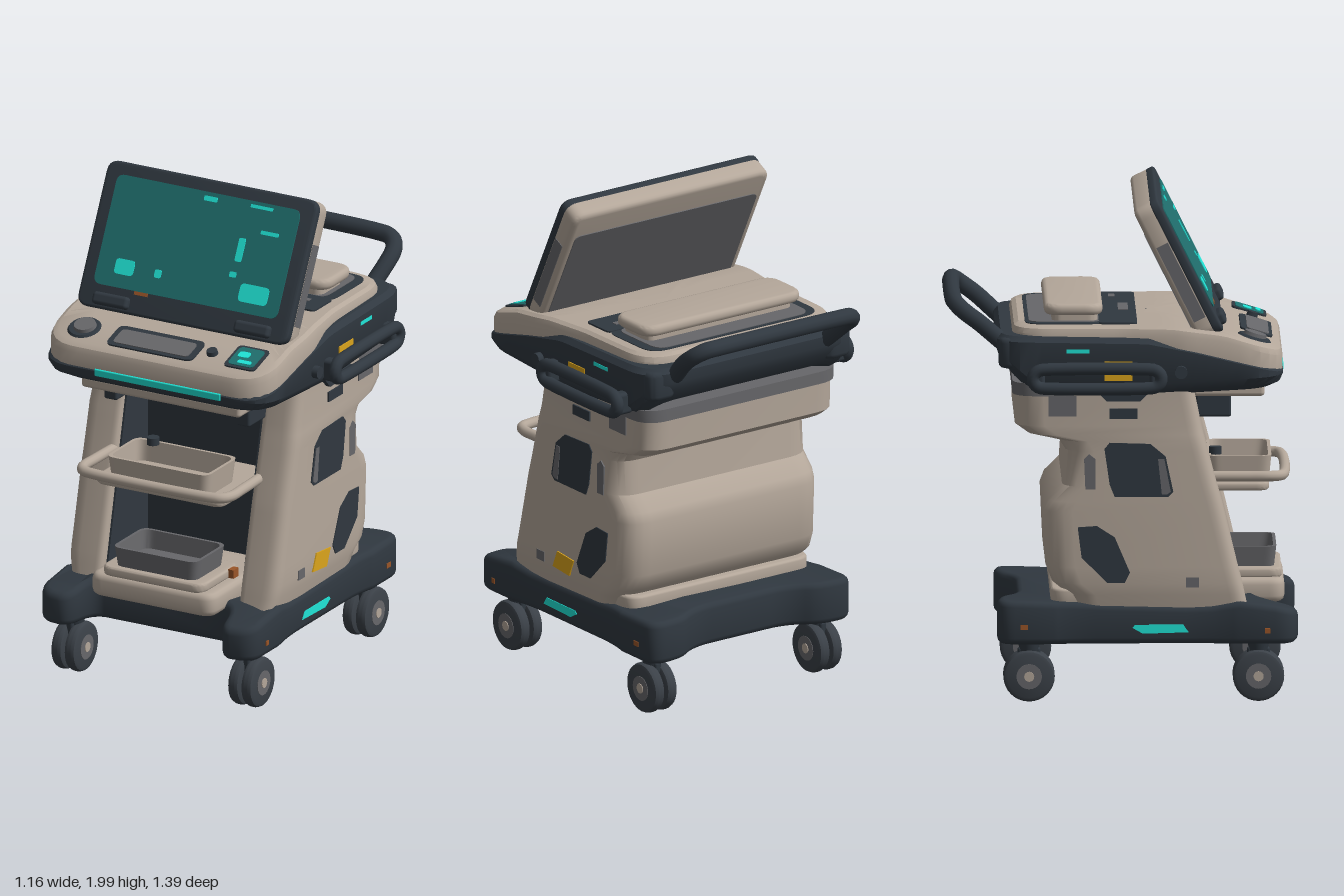
import * as THREE from 'three';
import { toCreasedNormals } from 'three/addons/utils/BufferGeometryUtils.js';
import { RoundedBoxGeometry } from 'three/addons/geometries/RoundedBoxGeometry.js';

const V = (x, y, z) => new THREE.Vector3(x, y, z);
const paint = (name, color) => { const m = new THREE.MeshStandardMaterial({ color }); m.name = name; return m; };

// Rounded rectangle in plan; the shape's y is -z
function roundRect(w, d, r, cx = 0, cz = 0) {
  const s = new THREE.Shape(), a = w / 2, b = d / 2, y = -cz;
  s.moveTo(cx + a, y - b + r);
  s.lineTo(cx + a, y + b - r).quadraticCurveTo(cx + a, y + b, cx + a - r, y + b);
  s.lineTo(cx - a + r, y + b).quadraticCurveTo(cx - a, y + b, cx - a, y + b - r);
  s.lineTo(cx - a, y - b + r).quadraticCurveTo(cx - a, y - b, cx - a + r, y - b);
  s.lineTo(cx + a - r, y - b).quadraticCurveTo(cx + a, y - b, cx + a, y - b + r);
  return s;
}
// Extrude a plan shape upward from y0 to y1 with a soft edge
function slab(shape, y0, y1, bevel = 0) {
  const g = new THREE.ExtrudeGeometry(shape, { depth: y1 - y0 - 2 * bevel, bevelEnabled: bevel > 0, bevelSize: bevel,
    bevelThickness: bevel, bevelOffset: -bevel, bevelSegments: 3, curveSegments: 8 });
  return toCreasedNormals(g.rotateX(-Math.PI / 2).translate(0, y0 + bevel, 0), 0.6);
}
// Skin a stack of equal closed rings (counter-clockwise from above)
function loft(rings, crease = 0.6) {
  const n = rings[0].length, idx = [];
  for (let k = 0; k < rings.length - 1; k++) for (let i = 0; i < n; i++) {
    const a = k * n + i, b = k * n + (i + 1) % n;
    idx.push(a, b, b + n, a, b + n, a + n);
  }
  const g = new THREE.BufferGeometry().setFromPoints(rings.flat());
  g.setIndex(idx);
  return toCreasedNormals(g, crease);
}
function rectRing(w, d, r, y, cz, squeeze = () => 1) {
  const pts = roundRect(w, d, r, 0, 0).getSpacedPoints(96).slice(0, -1);
  return pts.map(p => { const z = cz - p.y; return V(p.x * squeeze(z), typeof y === 'function' ? y(z) : y, z); });
}
// Piecewise linear value along z, listed front to back
const along = table => z => {
  for (let i = 1; i < table.length; i++) if (z >= table[i][0] || i === table.length - 1) {
    const [z0, y0] = table[i - 1], [z1, y1] = table[i];
    return THREE.MathUtils.lerp(y0, y1, THREE.MathUtils.clamp((z - z0) / (z1 - z0), 0, 1));
  }
};
const tube = (pts, r, closed = false) =>
  new THREE.TubeGeometry(new THREE.CatmullRomCurve3(pts, closed, 'centripetal'), 96, r, 12, closed);

export function createModel() {
  const root = new THREE.Group();
  root.name = 'medicalCart';
  const shell = paint('warm grey shell', 0xb4a79a), dark = paint('charcoal', 0x303840), tyre = paint('tyre', 0x3b4148),
    grey = paint('mid grey', 0x67676a), glass = paint('screen teal', 0x206f6e), cyan = paint('bright cyan', 0x20e6d8),
    yellow = paint('yellow', 0xdba41c), orange = paint('orange', 0x9a5528);
  const add = (name, g, m, parent = root) => {
    const mesh = new THREE.Mesh(g, m); mesh.name = name; parent.add(mesh); return mesh;
  };
  const box = (name, w, h, d, x, y, z, m, parent = root, r = 0) =>
    add(name, (r ? new RoundedBoxGeometry(w, h, d, 3, r) : new THREE.BoxGeometry(w, h, d)).translate(x, y, z), m, parent);
  // Thin plate on the flanks from [z, y] corners
  const flank = (name, pts, x, m, depth = 0.008, sides = [1, -1]) => {
    for (const side of sides) {
      const g = new THREE.ExtrudeGeometry(new THREE.Shape(pts.map(p => new THREE.Vector2(-p[0], p[1]))), { depth, bevelEnabled: false });
      add(name, g.rotateY(Math.PI / 2).translate(side * x - depth / 2, 0, 0), m);
    }
  };
  const quad = (z0, z1, y0, y1) => [[z0, y0], [z1, y0], [z1, y1], [z0, y1]];

  // Casters with twin wheels
  const profile = [[0.001, -0.025], [0.084, -0.025], [0.096, -0.02], [0.101, -0.008], [0.101, 0.008], [0.096, 0.02], [0.084, 0.025], [0.001, 0.025]];
  for (const x of [-0.4, 0.4]) for (const z of [0.535, -0.365]) {
    const c = new THREE.Group(); c.name = 'caster'; c.position.set(x, 0.105, z); root.add(c);
    for (const s of [-0.03, 0.03]) {
      const turn = g => g.rotateZ(Math.PI / 2).translate(s, 0, 0);
      add('tyre', turn(toCreasedNormals(new THREE.LatheGeometry(profile.map(p => new THREE.Vector2(...p)), 32), 0.5)), tyre, c);
      add('hub', turn(new THREE.CylinderGeometry(0.05, 0.05, 0.054, 24)), grey, c);
      add('axleCap', turn(new THREE.CylinderGeometry(0.02, 0.02, 0.06, 16)), shell, c);
    }
    box('casterFork', 0.03, 0.12, 0.09, 0, 0.05, 0, dark, c, 0.01);
    add('casterStem', new THREE.CylinderGeometry(0.045, 0.035, 0.05, 20).translate(0, 0.115, 0), dark, c);
  }

  // Wheeled base with lobed corners, waisted edges and a dipping top
  const b = new THREE.Shape();
  b.moveTo(0.27, -0.53);
  b.quadraticCurveTo(0.32, -0.54, 0.33, -0.62).quadraticCurveTo(0.34, -0.69, 0.39, -0.69);
  b.lineTo(0.43, -0.685).quadraticCurveTo(0.49, -0.67, 0.49, -0.6);
  b.lineTo(0.49, -0.46).quadraticCurveTo(0.47, -0.36, 0.47, -0.25);
  b.lineTo(0.47, 0.1).quadraticCurveTo(0.47, 0.2, 0.49, 0.27);
  b.lineTo(0.49, 0.42).quadraticCurveTo(0.49, 0.49, 0.42, 0.49);
  b.quadraticCurveTo(0.33, 0.49, 0.28, 0.45).quadraticCurveTo(0.22, 0.41, 0.14, 0.41);
  const half = b.getPoints(8);
  const outline = new THREE.Shape(half.concat(half.slice().reverse().map(p => new THREE.Vector2(-p.x, p.y))));
  const baseG = slab(outline, 0.235, 0.405, 0.025), bp = baseG.attributes.position;
  const rise = along([[0.69, -0.04], [0.5, 0.005], [0.35, -0.02], [0.1, -0.025], [-0.2, -0.005], [-0.49, 0.005]]);
  for (let i = 0; i < bp.count; i++) if (bp.getY(i) > 0.32) bp.setY(i, bp.getY(i) + rise(bp.getZ(i)));
  add('base', toCreasedNormals(baseG, 0.6), dark);
  flank('baseLight', [[0.26, 0.282], [0.08, 0.277], [0.04, 0.3], [0.05, 0.312], [0.24, 0.312]], 0.469, cyan);
  flank('baseMarker', quad(0.58, 0.56, 0.28, 0.3), 0.489, orange);
  flank('baseMarker', quad(-0.37, -0.4, 0.295, 0.315), 0.489, orange);
  add('rearSkirt', slab(roundRect(0.88, 0.5, 0.07, 0, -0.03), 0.38, 0.45, 0.012), shell);

  // Body: U-shaped cross-sections open at the front: y, front z, back z, half width
  const levels = [[0.36, 0.495, -0.2, 0.455], [0.43, 0.48, -0.22, 0.47], [0.475, 0.47, -0.275, 0.475], [0.54, 0.453, -0.3, 0.475],
    [0.76, 0.4, -0.31, 0.475], [0.8, 0.39, -0.295, 0.475], [0.86, 0.372, -0.235, 0.475], [1.0, 0.335, -0.225, 0.475],
    [1.04, 0.325, -0.25, 0.475], [1.065, 0.318, -0.37, 0.473], [1.1, 0.31, -0.42, 0.47], [1.27, 0.275, -0.425, 0.47]];
  const notch = 0.31, deep = 0.12;
  add('body', loft(levels.map(([y, zf, zb, hw]) => {
    const s = new THREE.Shape(), r = 0.06, q = 0.115;
    s.moveTo(notch, -deep);
    s.lineTo(notch, 0.03 - zf).quadraticCurveTo(notch, -zf, notch + 0.03, -zf);
    s.lineTo(hw - r, -zf).quadraticCurveTo(hw, -zf, hw, r - zf);
    s.lineTo(hw, -zb - q).quadraticCurveTo(hw, -zb, hw - q, -zb);
    const p = s.getPoints(6);
    return p.concat(p.slice().reverse().map(k => new THREE.Vector2(-k.x, k.y))).map(k => V(k.x, y, -k.y));
  })), shell);
  add('neckBand', slab(roundRect(0.955, 0.3, 0.11, 0, -0.28), 1.22, 1.27), grey);
  box('bayBack', 0.62, 0.86, 0.008, 0, 0.82, 0.124, dark);
  flank('bayLiner', [[0.12, 0.38], [0.455, 0.38], [0.26, 1.24], [0.12, 1.24]], 0.306, dark);

  // Flank details
  flank('sideWindow', [[0.2, 0.84], [0.18, 0.82], [-0.03, 0.82], [-0.05, 0.87], [-0.07, 1.01], [-0.05, 1.035], [0.11, 1.03], [0.17, 0.98]], 0.475, dark);
  flank('windowEdge', [[0.19, 0.84], [0.175, 0.83], [0.155, 0.83], [0.14, 0.97], [0.165, 0.97]], 0.477, grey);
  flank('sideSlot', [[-0.105, 0.85], [-0.145, 0.85], [-0.15, 0.97], [-0.13, 0.99], [-0.105, 0.97]], 0.474, grey);
  flank('sideVent', [[0.03, 0.52], [0.01, 0.48], [-0.06, 0.48], [-0.16, 0.58], [-0.175, 0.7], [-0.1, 0.705], [-0.03, 0.66]], 0.475, dark);
  flank('sideTag', [[0.19, 0.46], [0.08, 0.45], [0.05, 0.52], [0.16, 0.53]], 0.476, yellow, 0.008, [1]);
  flank('sideSocket', quad(0.3, 0.25, 0.46, 0.5), 0.474, grey);
  flank('rearSocket', quad(-0.18, -0.29, 1.14, 1.22), 0.47, grey);
  flank('sideLatch', [[0.11, 1.24], [0.07, 1.2], [-0.06, 1.2], [-0.1, 1.24]], 0.474, dark, 0.03);
  flank('latchSocket', quad(0.06, -0.05, 1.13, 1.17), 0.473, dark);

  // Deck: dark rim and pale sloping top
  const low = along([[0.63, 1.25], [0.1, 1.22], [-0.36, 1.24], [-0.49, 1.35]]);
  const seam = along([[0.63, 1.33], [0.3, 1.41], [0.1, 1.45], [-0.49, 1.46]]);
  const top = along([[0.63, 1.4], [0.4, 1.47], [0.2, 1.495], [-0.49, 1.495]]);
  const shift = (f, d) => z => f(z) + d;
  add('deckRim', loft([[0.01, 0.01, low, 0], [0.9, 1.02, low, 0], [0.98, 1.1, low, 0.02], [1.02, 1.125, low, 0.05],
    [1.02, 1.125, seam, -0.02], [0.98, 1.09, seam, 0], [0.01, 0.01, seam, 0]].map(([w, d, f, dy]) =>
    rectRing(w, d, 0.13 * w, shift(f, dy), 0.07))), dark);
  const narrow = along([[0.25, 1], [0.0, 0.93], [-0.5, 0.92]]);
  add('deckTop', loft([[1.02, 1.06, seam, -0.015], [1.02, 1.06, top, -0.03], [1.005, 1.045, top, -0.01], [0.97, 1.01, top, 0],
    [0.75, 0.78, top, 0], [0.5, 0.52, top, 0], [0.25, 0.26, top, 0], [0.005, 0.005, top, 0]].map(([w, d, f, dy]) =>
    rectRing(w, d, 0.15 * w, shift(f, dy), 0.1, narrow)), 0.5), shell);
  box('frontLight', 0.57, 0.03, 0.012, 0.03, 1.305, 0.63, cyan, root, 0.005);
  flank('rimLight', quad(-0.13, -0.22, 1.395, 1.41), 0.508, cyan);
  box('underTray', 0.72, 0.05, 0.28, 0, 1.225, 0.42, shell, root, 0.015);
  for (const s of [-1, 1]) {
    box('deckBracket', 0.06, 0.11, 0.14, s * 0.3, 1.17, 0.36, dark, root, 0.01);
    add('rimKnob', new THREE.CylinderGeometry(0.025, 0.025, 0.04, 16).rotateZ(Math.PI / 2).translate(s * 0.515, 1.32, 0.23), dark);
    add('rearLobe', slab(roundRect(0.13, 0.14, 0.05, s * 0.425, -0.415), 1.33, 1.45, 0.02), dark);
  }

  // Storage lid and its recess
  add('recessFrame', slab(roundRect(0.82, 0.32, 0.08, 0, -0.22), 1.49, 1.498), dark);
  add('lidRecess', slab(roundRect(0.74, 0.28, 0.06, 0, -0.225), 1.493, 1.501), grey);
  add('hingeWell', slab(roundRect(0.82, 0.15, 0.02, 0, -0.015), 1.494, 1.502), dark);
  add('lidFoot', slab(roundRect(0.7, 0.18, 0.04, 0, -0.185), 1.49, 1.54), shell);
  add('lid', slab(roundRect(0.77, 0.23, 0.07, 0, -0.19), 1.525, 1.57, 0.018), shell);
  box('hingeCover', 0.17, 0.012, 0.04, 0.01, 1.5, 0.01, grey);
  box('hingeCover', 0.06, 0.008, 0.025, 0.31, 1.501, -0.03, grey);

  // Console controls on the slope
  const con = new THREE.Group(); con.name = 'console'; con.position.set(0, 1.434, 0.52); con.rotation.x = 0.29; root.add(con);
  const disc = (name, r, h, x, m) => add(name, new THREE.CylinderGeometry(r * 0.9, r, h, 28).translate(x, h / 2, 0), m, con);
  disc('dialRing', 0.068, 0.008, -0.365, dark);
  disc('dial', 0.048, 0.022, -0.36, grey);
  disc('button', 0.023, 0.018, 0.215, dark);
  add('ventFrame', slab(roundRect(0.39, 0.13, 0.03, -0.035, 0.01), -0.002, 0.006), dark, con);
  add('ventGrille', slab(roundRect(0.34, 0.09, 0.02, -0.035, 0.015), 0.002, 0.01), grey, con);
  add('padFrame', slab(roundRect(0.14, 0.14, 0.02, 0.365, -0.01), -0.002, 0.006), dark, con);
  add('pad', slab(roundRect(0.115, 0.115, 0.02, 0.365, -0.01), 0.002, 0.009), glass, con);
  add('padGlow', slab(roundRect(0.05, 0.035, 0.012, 0.35, -0.02), 0.004, 0.012), cyan, con);
  add('padGlow', slab(roundRect(0.06, 0.02, 0.008, 0.375, 0.025), 0.004, 0.012), cyan, con);

  // Tilted monitor: local y runs up the screen, z faces out
  const mon = new THREE.Group(); mon.name = 'monitor'; mon.position.set(0, 1.475, 0.4); mon.rotation.x = -0.465; root.add(mon);
  const upright = (name, x, y, w, h, r, z0, z1, m, bevel = 0) =>
    add(name, slab(roundRect(w, h, r, x, -y), z0, z1, bevel).rotateX(Math.PI / 2), m, mon);
  upright('monitorShell', 0, 0.293, 0.945, 0.585, 0.05, -0.108, -0.015, shell, 0.02);
  upright('bezel', 0, 0.293, 0.95, 0.585, 0.05, -0.04, 0, dark, 0.01);
  upright('screen', -0.003, 0.315, 0.83, 0.44, 0.035, -0.004, 0.004, glass);
  upright('backPanel', 0, 0.245, 0.88, 0.46, 0.03, -0.112, -0.105, grey);
  for (const [x, y, w, h] of [[-0.295, 1.635, 0.085, 0.055], [0.29, 1.63, 0.13, 0.065], [0.188, 1.775, 0.03, 0.085], [0.18, 1.685, 0.03, 0.02],
    [-0.145, 1.635, 0.03, 0.03], [0.01, 1.93, 0.06, 0.018], [0.24, 1.935, 0.1, 0.012], [0.3, 1.85, 0.08, 0.014]])
    upright('screenGlyph', x, (y - 1.475) / 0.894, w, h / 0.894, Math.min(w, h) * 0.3, 0.002, 0.007, cyan);
  box('screenBadge', 0.06, 0.018, 0.006, -0.2, 0.09, 0.001, orange, mon);
  for (const s of [-1, 1]) {
    box('hinge', 0.16, 0.05, 0.05, s * 0.32, 0.04, 0.0, dark, mon, 0.015);
    box('monitorSideStrip', 0.008, 0.33, 0.05, s * 0.471, 0.25, -0.065, grey, mon);
  }

  // Grab loops on the flanks, with a tag on the rim behind each
  for (const s of [-1, 1]) {
    const x = s * 0.557, loop = [];
    for (let i = 0; i < 16; i++) {
      const a = (i < 8 ? i / 7 : 1 + (i - 8) / 7) * Math.PI - Math.PI / 2;
      loop.push(V(x, 1.3 + 0.037 * Math.sin(a), -0.1 + (i < 8 ? 0.21 : -0.21) + 0.042 * Math.cos(a)));
    }
    add('sideHandle', tube(loop, 0.025, true), dark);
    for (const z of [0.13, -0.33]) box('handlePost', 0.08, 0.09, 0.05, s * 0.52, 1.3, z, dark, root, 0.015);
  }
  flank('handleTag', quad(0.04, -0.07, 1.285, 1.362), 0.51, yellow);

  // Rear push handle
  const arm = [[0.36, 1.38, -0.42], [0.365, 1.425, -0.475], [0.385, 1.5, -0.56], [0.387, 1.53, -0.6], [0.375, 1.553, -0.63], [0.345, 1.57, -0.65], [0.29, 1.575, -0.658]];
  const left = arm.map(p => V(...p)), right = arm.map(([x, y, z]) => V(-x, y, z)).reverse();
  add('pushHandle', tube(left.concat(right), 0.034), dark);

  // Open basket: outside wall, lip, inside wall, floor
  const basket = (name, w, d, h, y, z, m) => add(name, loft([[0.02, 0], [w - 0.02, 0], [w, h], [w - 0.025, h], [w - 0.04, 0.015], [0.02, 0.015]]
    .map(([a, dy]) => rectRing(a, Math.max(0.01, d - (w - a)), Math.min(0.04, a / 8, Math.max(0.01, d - (w - a)) / 4), y + dy, z))), m);

  // Upper shelf with its wrap-around rail
  const rail = [[0.33, 0.88, 0.3], [0.335, 0.88, 0.5], [0.335, 0.88, 0.58], [0.315, 0.88, 0.62], [0.27, 0.88, 0.635]];
  add('shelfRail', tube(rail.map(p => V(...p)).concat(rail.map(([x, y, z]) => V(-x, y, z)).reverse()), 0.021), shell);
  add('upperShelf', slab(roundRect(0.58, 0.42, 0.05, 0, 0.37), 0.815, 0.85, 0.012), shell);
  basket('upperBasket', 0.46, 0.25, 0.1, 0.845, 0.465, shell);
  add('upperLatch', new THREE.CylinderGeometry(0.025, 0.025, 0.03, 16).translate(-0.14, 0.955, 0.37), dark);

  // Lower shelf and basket
  add('lowerShelf', slab(roundRect(0.56, 0.48, 0.06, 0, 0.4), 0.37, 0.465, 0.025), shell);
  add('lowerTray', slab(roundRect(0.46, 0.3, 0.05, 0, 0.48), 0.46, 0.5, 0.01), shell);
  basket('lowerBasket', 0.38, 0.25, 0.09, 0.49, 0.485, grey);
  for (const s of [-1, 1]) box('sideClip', 0.025, 0.04, 0.04, s * 0.24, 0.48, 0.4, orange);
  return root;
}
